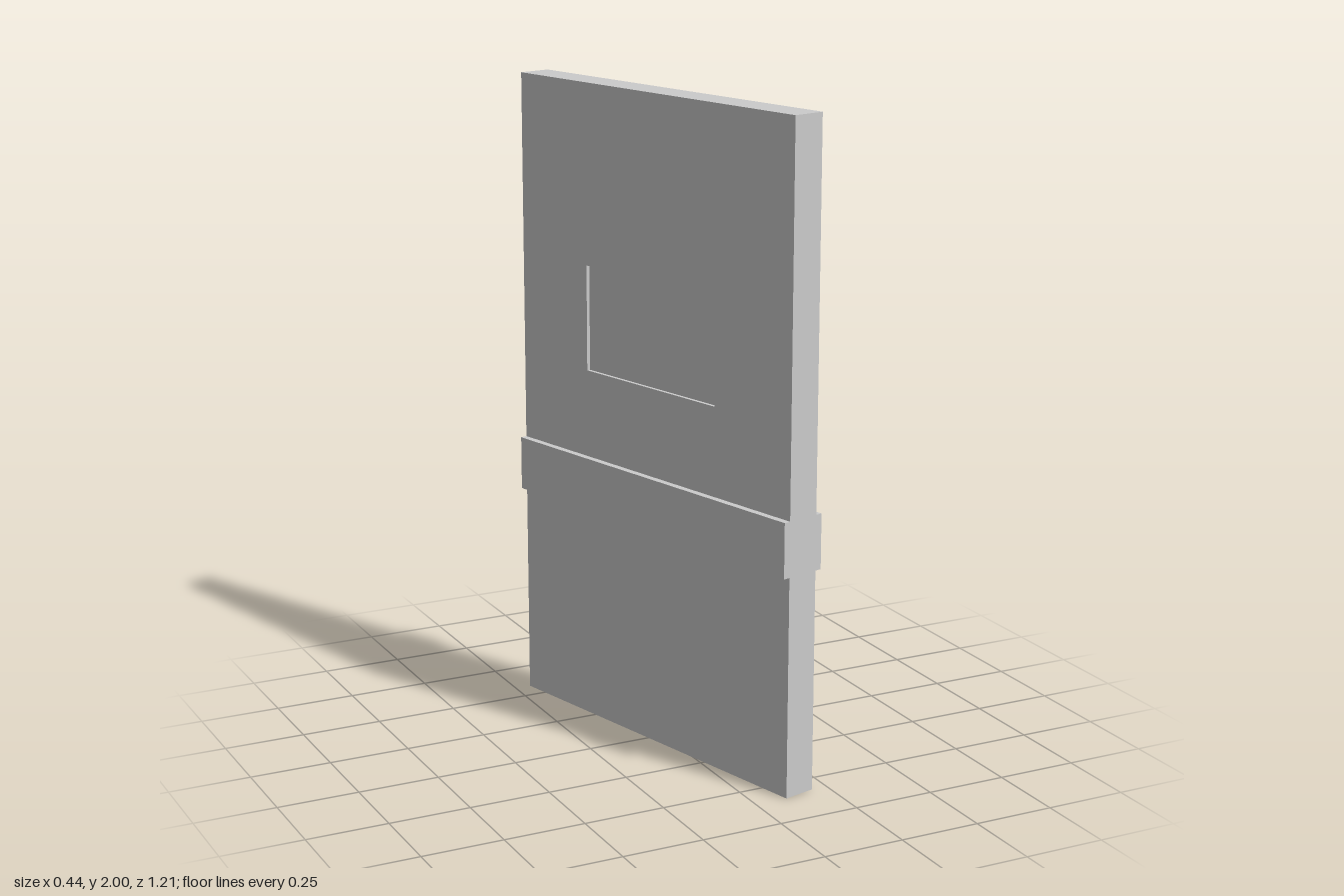
import * as THREE from 'three';

const LENGTH = 1.215, THICK = 0.103, BAND_THICK = 0.145, HEIGHT = 2;
const BAND = [0.677, 0.845];
const WINDOW = { z0: -0.298, z1: 0.284, y0: 1.118, y1: 1.445, recess: 0.011 };

export function createModel() {
  const group = new THREE.Group();
  const material = new THREE.MeshStandardMaterial({ color: 0xcccccc });

  const add = (name, geometry) => {
    const mesh = new THREE.Mesh(geometry, material);
    mesh.name = name;
    group.add(mesh);
    return mesh;
  };
  // Upright block with its length along z
  const block = (name, thick, y0, y1, z0 = -LENGTH / 2, z1 = LENGTH / 2) =>
    add(name, new THREE.BoxGeometry(thick, y1 - y0, z1 - z0))
      .position.set(0, (y0 + y1) / 2, (z0 + z1) / 2);
  const corners = (z0, z1, y0, y1) => [
    new THREE.Vector2(z0, y0), new THREE.Vector2(z1, y0),
    new THREE.Vector2(z1, y1), new THREE.Vector2(z0, y1),
  ];

  // Lower slab and the thicker band around it
  block('lowerSlab', THICK, 0, BAND[0]);
  block('band', BAND_THICK, BAND[0], BAND[1]);

  // Upper slab with a rectangular opening
  const shape = new THREE.Shape(corners(-LENGTH / 2, LENGTH / 2, BAND[1], HEIGHT));
  const { z0, z1, y0, y1, recess } = WINDOW;
  shape.holes.push(new THREE.Path(corners(z0, z1, y0, y1).reverse()));
  const upper = new THREE.ExtrudeGeometry(shape, { depth: THICK, bevelEnabled: false });
  upper.translate(0, 0, -THICK / 2).rotateY(-Math.PI / 2);
  add('upperSlab', upper);

  // Panel set slightly back from both faces
  block('recessedPanel', THICK - 2 * recess, y0, y1, z0, z1);

  // The whole slab stands turned about the vertical
  group.rotation.y = 0.25;
  const model = new THREE.Group();
  model.name = 'slab';
  model.add(group);
  return model;
}
